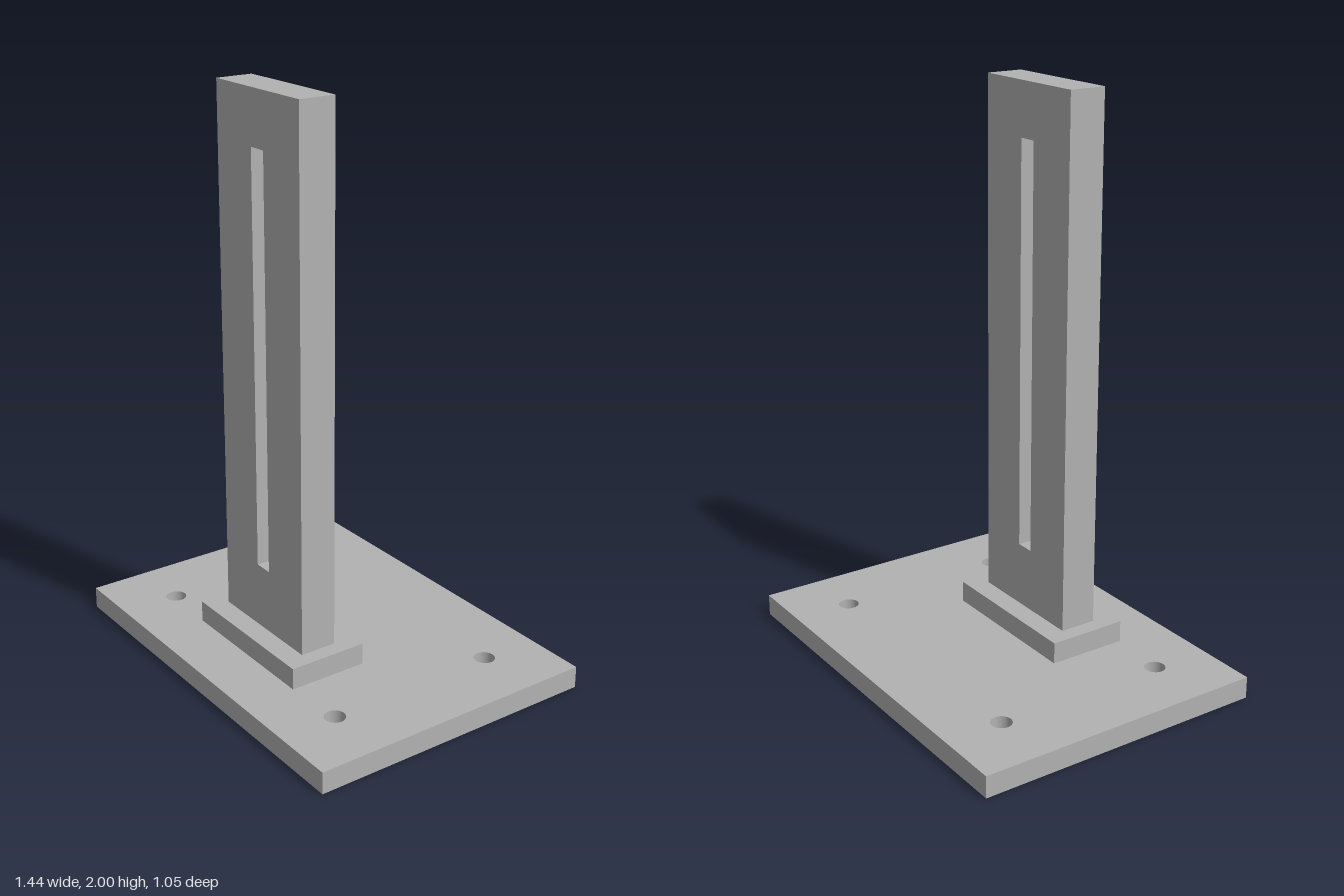
import * as THREE from 'three';

// Rectangle outline centred on x, from y0 to y1
function rect(Type, halfWidth, y0, y1) {
  const path = new Type();
  path.moveTo(-halfWidth, y0);
  path.lineTo(halfWidth, y0);
  path.lineTo(halfWidth, y1);
  path.lineTo(-halfWidth, y1);
  path.closePath();
  return path;
}

function extrude(shape, depth) {
  return new THREE.ExtrudeGeometry(shape, { depth, bevelEnabled: false, curveSegments: 40 });
}

export function createModel() {
  const group = new THREE.Group();
  group.name = 'slottedBracket';
  const metal = new THREE.MeshStandardMaterial({ color: 0xb2b2b2 });
  metal.name = 'grey metal';

  const add = (name, geometry) => {
    const mesh = new THREE.Mesh(geometry, metal);
    mesh.name = name;
    group.add(mesh);
    return mesh;
  };

  const plateTop = 0.077, collarTop = 0.153, postZ = 0.189;

  // Base plate with four bolt holes
  const plate = rect(THREE.Shape, 0.722, -0.525, 0.525);
  for (const x of [-0.495, 0.495]) {
    for (const y of [-0.314, 0.314]) {
      plate.holes.push(new THREE.Path().absarc(x, y, 0.036, 0, Math.PI * 2, true));
    }
  }
  add('basePlate', extrude(plate, plateTop).rotateX(-Math.PI / 2));

  // Collar around the foot of the post
  add('collar', new THREE.BoxGeometry(0.568, collarTop - plateTop, 0.284))
    .position.set(0, (plateTop + collarTop) / 2, postZ);

  // Upright post with a long vertical slot through it
  const postDepth = 0.132;
  const post = rect(THREE.Shape, 0.227, collarTop, 2);
  post.holes.push(rect(THREE.Path, 0.034, 0.38, 1.815));
  add('slottedPost', extrude(post, postDepth)).position.z = postZ - postDepth / 2;

  return group;
}
